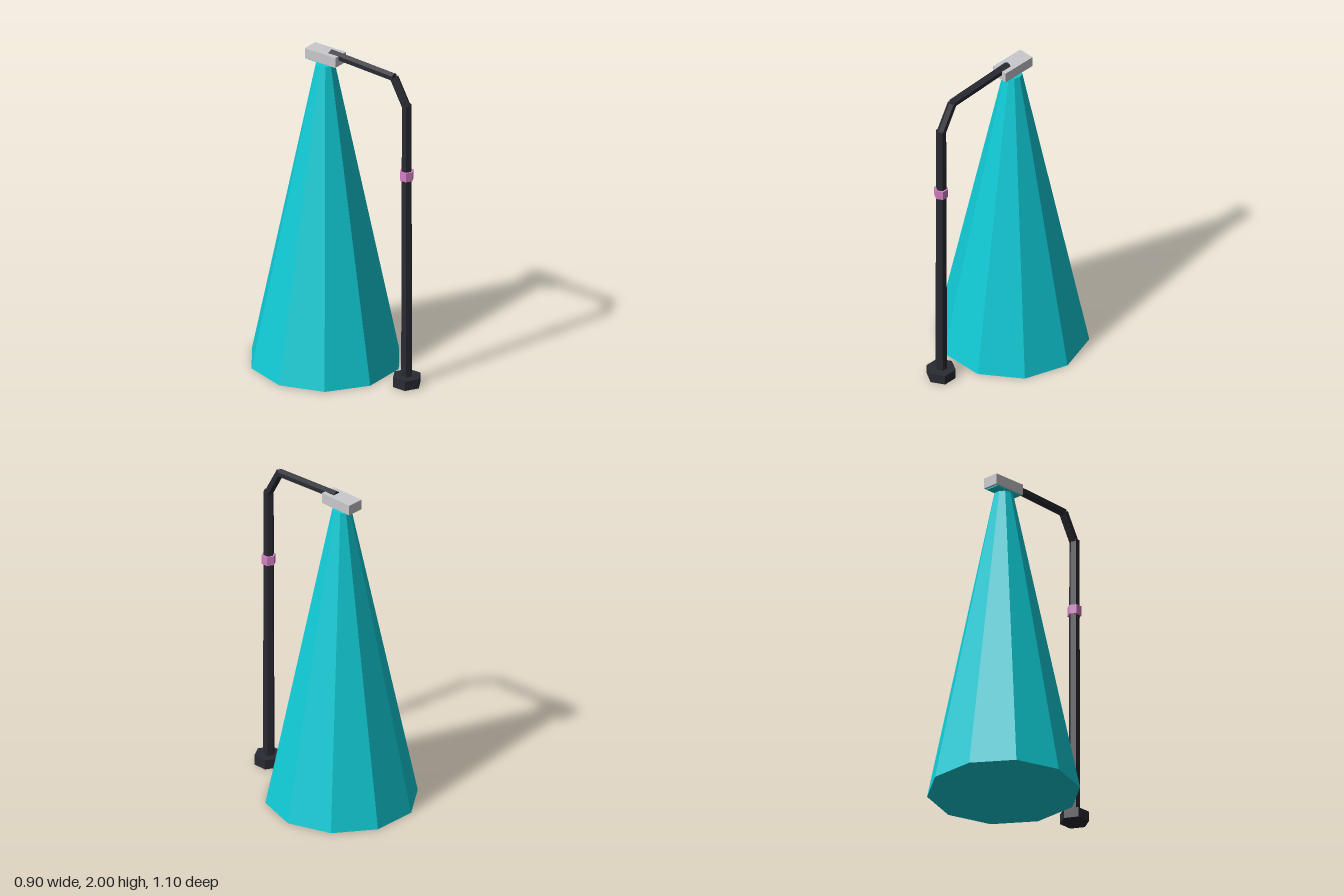
import * as THREE from 'three';

const flat = (name, color) => {
  const m = new THREE.MeshStandardMaterial({ color });
  m.name = name;
  return m;
};

export function createModel() {
  const group = new THREE.Group();
  const dark = flat('dark metal', 0x2a2a33);
  const grey = flat('light grey', 0xcacace);
  const teal = flat('teal light', 0x10cbd6);
  const pink = flat('pink band', 0xd680c6);

  const POLE_Z = 0.46;
  const HEAD_Z = -0.126;

  // Adds a named mesh; toNonIndexed plus new normals gives flat facets
  const add = (name, geometry, material, x, y, z) => {
    const g = geometry.toNonIndexed();
    g.computeVertexNormals();
    const mesh = new THREE.Mesh(g, material);
    mesh.name = name;
    mesh.position.set(x, y, z);
    group.add(mesh);
    return mesh;
  };

  // Upright hexagonal prism on the pole axis
  const hex = (name, rTop, rBottom, y0, y1, material) =>
    add(name, new THREE.CylinderGeometry(rTop, rBottom, y1 - y0, 6), material, 0, (y0 + y1) / 2, POLE_Z);

  // Hexagonal bar between two points in the x = 0 plane
  const bar = (name, radius, [y0, z0], [y1, z1]) => {
    const length = Math.hypot(y1 - y0, z1 - z0);
    const mesh = add(name, new THREE.CylinderGeometry(radius, radius, length, 6), dark,
      0, (y0 + y1) / 2, (z0 + z1) / 2);
    mesh.rotation.x = Math.atan2(z1 - z0, y1 - y0);
  };

  // Foot, pole and band
  hex('base', 0.087, 0.087, 0, 0.06, dark);
  hex('pole', 0.03, 0.035, 0.03, 1.8, dark);
  hex('band', 0.042, 0.042, 1.32, 1.377, pink);

  // Bent arm
  const elbow = [1.95, 0.37];
  bar('lowerArm', 0.027, [1.785, POLE_Z], elbow);
  bar('upperArm', 0.026, elbow, [1.974, -0.086]);

  // Lamp head with its lens
  add('lampHead', new THREE.BoxGeometry(0.102, 0.064, 0.22), grey, 0, 1.951, HEAD_Z);
  add('lens', new THREE.BoxGeometry(0.084, 0.008, 0.19), teal, 0, 1.916, HEAD_Z);

  // Ten-sided cone of light, with corners on the x axis
  add('lightCone', new THREE.CylinderGeometry(0.056, 0.448, 1.9, 10, 1, false, Math.PI / 10),
    teal, 0, 0.95, HEAD_Z);

  return group;
}
